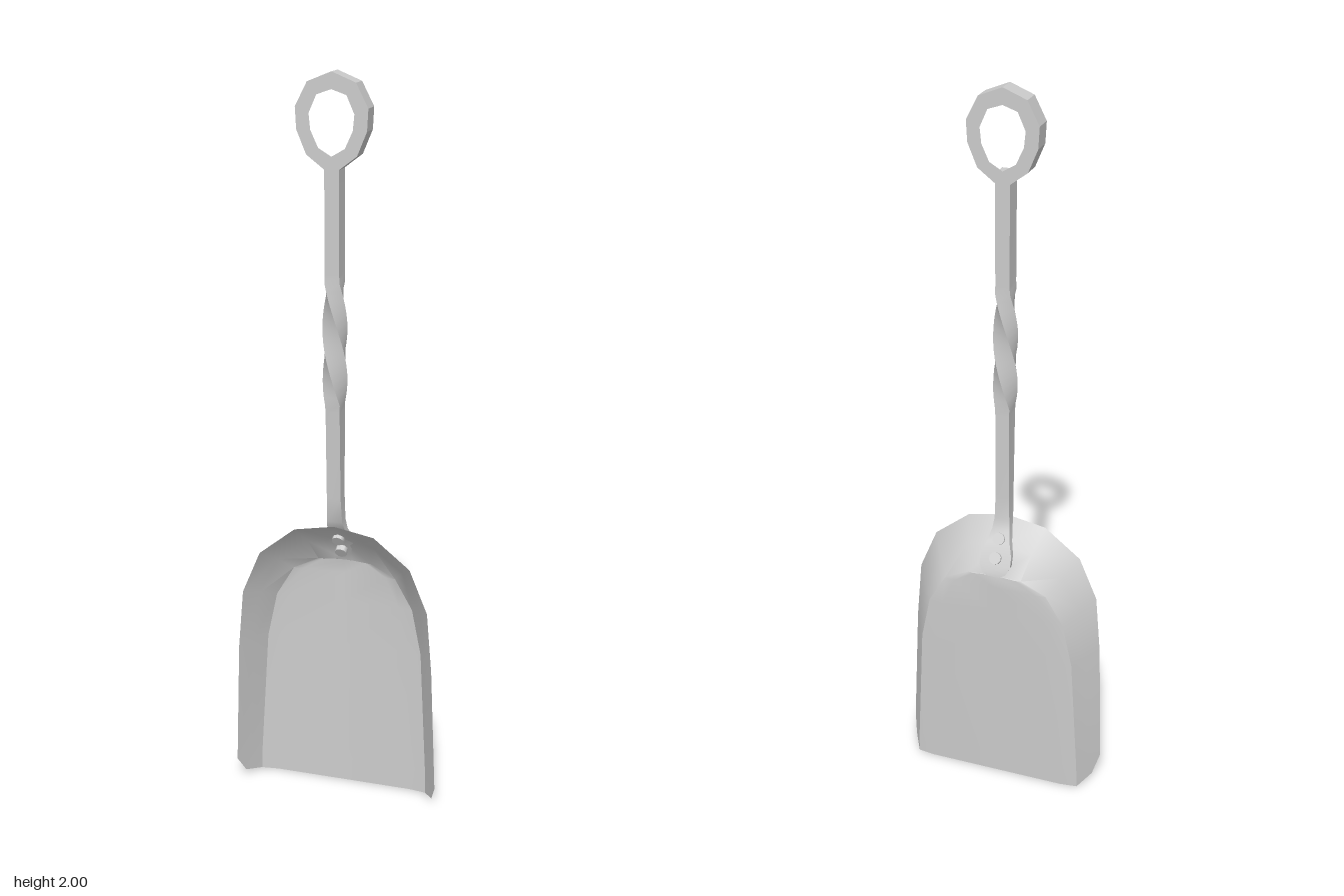
import * as THREE from 'three';
import { toCreasedNormals } from 'three/addons/utils/BufferGeometryUtils.js';

// Joins rows of points (all the same length) into a surface
function loft(rows, { closed = false, caps = false, crease = 0.6 } = {}) {
  const n = rows[0].length;
  const index = [];
  for (let i = 0; i < rows.length - 1; i++) {
    for (let j = 0; j < (closed ? n : n - 1); j++) {
      const a = i * n + j, b = i * n + (j + 1) % n;
      index.push(a, b, b + n, a, b + n, a + n);
    }
  }
  if (caps) {
    const e = (rows.length - 1) * n;
    for (let j = 1; j < n - 1; j++) index.push(0, j + 1, j, e, e + j, e + j + 1);
  }
  const g = new THREE.BufferGeometry();
  g.setAttribute('position', new THREE.Float32BufferAttribute(rows.flat(2), 3));
  g.setIndex(index);
  return toCreasedNormals(g, crease);
}

export function createModel() {
  const group = new THREE.Group();
  const solid = new THREE.MeshStandardMaterial({ color: 0xcccccc });
  const sheet = new THREE.MeshStandardMaterial({ color: 0xcccccc, side: THREE.DoubleSide });
  const add = (name, geometry, material = solid) => {
    const mesh = new THREE.Mesh(geometry, material);
    mesh.name = name;
    group.add(mesh);
    return mesh;
  };

  // Pan: floor edge (x, y), rim (x, y, z), and how far the wall bows backwards
  const half = [
    [0.245, 0.003, 0.275, 0.02, 0.012, 0],
    [0.243, 0.07, 0.29, 0.07, 0.042, 0],
    [0.222, 0.43, 0.275, 0.43, 0.048, 0],
    [0.195, 0.56, 0.26, 0.6, 0.048, 0],
    [0.145, 0.645, 0.21, 0.72, 0.046, 0.004],
    [0.075, 0.68, 0.11, 0.8, 0.045, 0.01],
    [0, 0.685, 0, 0.82, 0.045, 0.012],
  ];
  const mirrored = half.slice(0, -1).reverse().map(([a, b, c, ...r]) => [-a, b, -c, ...r]);
  const panRows = [...half, ...mirrored].map(([fx, fy, rx, ry, rz, bow]) => {
    const back = -0.046 - 0.013 * fy / 0.685;
    const edge = back + 0.006 * Math.min(1, Math.abs(fx) / 0.2);
    return [
      [0, fy, back],
      [fx * 0.8, fy, back],
      [fx, fy, edge],
      [(fx + rx) / 2, (fy + ry) / 2 + bow * 0.5, (edge + rz) / 2 - bow],
      [rx, ry, rz],
    ];
  });
  add('pan', loft(panRows), sheet);

  // Handle: a rectangular bar, twisted in the middle, flattened into a riveted tab
  // Each section is height, depth position, half width, half depth, twist
  const sections = [
    [0.685, -0.061, 0.016, 0.005, 0],
    [0.695, -0.058, 0.034, 0.006, 0],
    [0.715, -0.048, 0.044, 0.007, 0],
    [0.74, -0.035, 0.043, 0.008, 0],
    [0.77, -0.016, 0.033, 0.01, 0],
    [0.8, 0.008, 0.025, 0.012, 0],
    [0.83, 0.02, 0.021, 0.016, 0],
    [0.9, 0.025, 0.019, 0.019, 0],
    [1.14, 0.029, 0.019, 0.024, Math.PI],
  ];
  for (let i = 0; i <= 16; i++) {
    const t = i / 16;
    sections.push([1.16 + 0.32 * t, 0.03 + 0.002 * t, 0.02, 0.025, Math.PI * (1 - t)]);
  }
  sections.push([1.5, 0.032, 0.019, 0.025, 0], [1.79, 0.033, 0.019, 0.026, 0]);
  const corners = [[-1, 1], [1, 1], [1, -1], [-1, -1]];
  const barRows = sections.map(([y, z, w, d, a]) => {
    // The plain bar below the twist keeps its corner order through the half turn
    const turn = y < 1.16 ? Math.PI : a;
    return corners.map(([sx, sz]) => [
      sx * w * Math.cos(turn) + sz * d * Math.sin(turn),
      y,
      z - sx * w * Math.sin(turn) + sz * d * Math.cos(turn),
    ]);
  });
  add('handle', loft(barRows, { closed: true, caps: true, crease: 0.7 }));

  // Faceted hanging ring
  const outline = (side) => [...side, ...side.slice(1, -1).reverse().map(([x, y]) => [-x, y])]
    .map(([x, y]) => new THREE.Vector2(x, y));
  const ring = new THREE.Shape(outline(
    [[0, 2], [0.062, 1.975], [0.093, 1.915], [0.09, 1.86], [0.065, 1.8], [0.019, 1.765], [0, 1.765]]));
  ring.holes.push(new THREE.Path(outline(
    [[0, 1.958], [0.038, 1.945], [0.058, 1.9], [0.054, 1.86], [0.034, 1.817], [0, 1.797]])));
  const ringGeometry = new THREE.ExtrudeGeometry(ring, { depth: 0.053, bevelEnabled: false });
  add('hangingRing', ringGeometry.translate(0, 0, 0.007));

  // Rivets through the tab and the back wall of the pan
  for (const [y, z] of [[0.727, -0.037], [0.772, -0.009]]) {
    const rivet = add('rivet', toCreasedNormals(new THREE.CylinderGeometry(0.017, 0.017, 0.036, 10), 0.7));
    rivet.position.set(0, y, z);
    rivet.rotation.x = -1.02;
  }
  return group;
}
